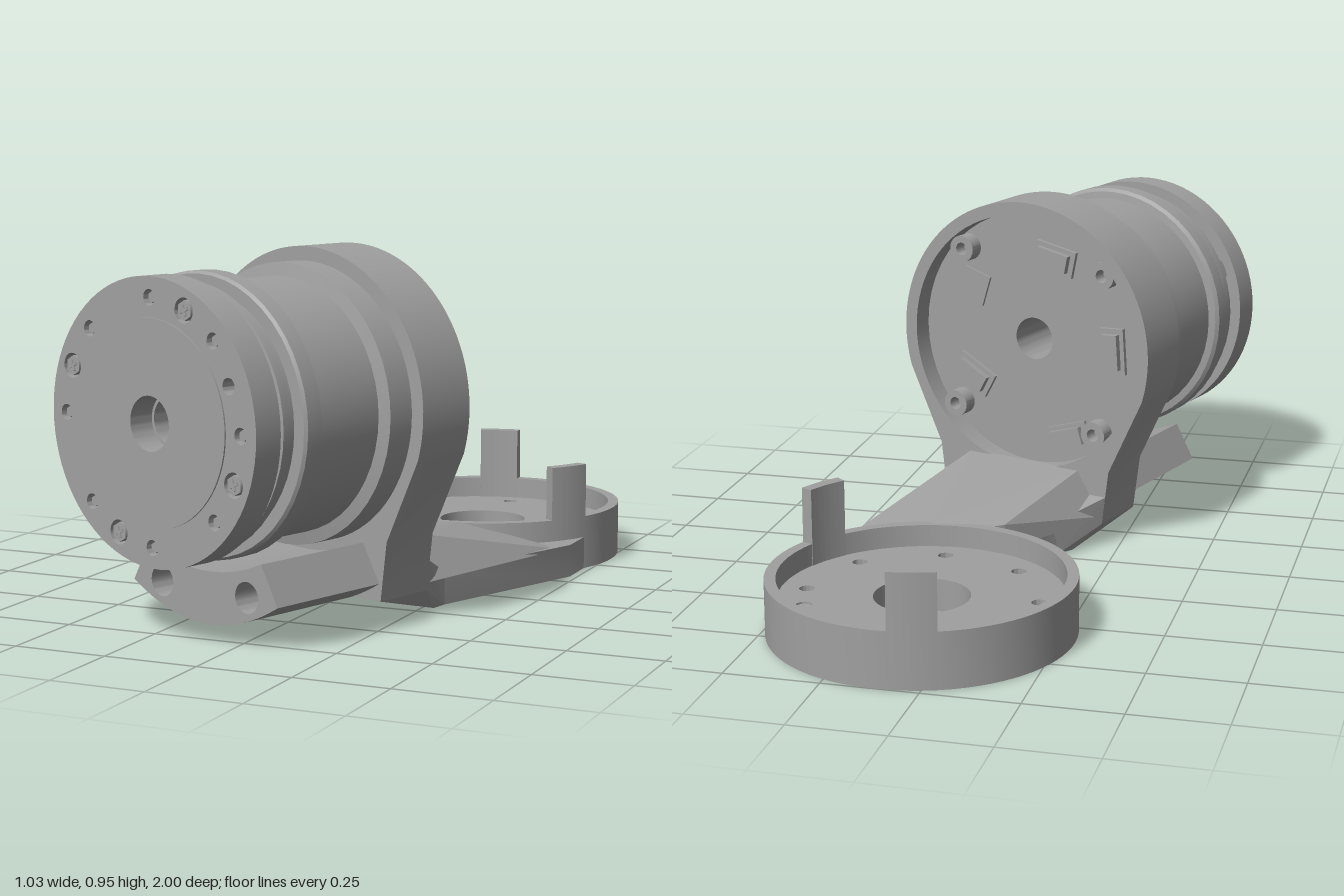
import * as THREE from 'three';
import { toCreasedNormals } from 'three/addons/utils/BufferGeometryUtils.js';
import { ConvexGeometry } from 'three/addons/geometries/ConvexGeometry.js';

const metal = new THREE.MeshStandardMaterial({ color: 0xa0a0a0 });
metal.name = 'machined grey';

function add(parent, name, geometry, x = 0, y = 0, z = 0) {
  const mesh = new THREE.Mesh(geometry, metal);
  mesh.name = name;
  mesh.position.set(x, y, z);
  parent.add(mesh);
  return mesh;
}

const polar = (r, deg) => [r * Math.cos(deg * Math.PI / 180), r * Math.sin(deg * Math.PI / 180)];

function disc(r) {
  return new THREE.Shape().absarc(0, 0, r, 0, Math.PI * 2, false);
}

function drill(shape, x, y, r) {
  shape.holes.push(new THREE.Path().absarc(x, y, r, 0, Math.PI * 2, true));
  return shape;
}

function extrude(shape, depth, curveSegments = 24) {
  const g = new THREE.ExtrudeGeometry(shape, { depth, bevelEnabled: false, curveSegments });
  return toCreasedNormals(g, 0.5);
}

// Extrudes a plan drawn as (x, -z) upwards
const slab = (shape, height, seg) => extrude(shape, height, seg).rotateX(-Math.PI / 2);

function createBase() {
  const base = new THREE.Group();
  base.name = 'baseCup';
  base.position.set(0.11, 0, -0.6);

  // Floor in two layers so the screw holes are counterbored from below
  const layer = r => {
    const s = drill(disc(0.38), 0, 0, 0.125);
    for (let i = 0; i < 8; i++) drill(s, ...polar(0.302, 4.5 + i * 45), r);
    return s;
  };
  add(base, 'counterboredFloor', slab(layer(0.038), 0.05));
  add(base, 'cupFloor', slab(drill(layer(0.02), ...polar(0.302, 26.5), 0.02), 0.04), 0, 0.05, 0);
  add(base, 'cupRim', slab(drill(disc(0.4), 0, 0, 0.37), 0.15, 40));
  add(base, 'floorPin', new THREE.CylinderGeometry(0.02, 0.02, 0.03, 16), 0.27, 0.07, -0.135);

  // Upright locating tabs on the rim
  for (const deg of [103, -31]) {
    const a = deg * Math.PI / 180, h = 0.155;
    const s = new THREE.Shape();
    s.absarc(0, 0, 0.4, a - h, a + h, false);
    s.absarc(0, 0, 0.368, a + h, a - h, true);
    add(base, 'locatingTab', slab(s, 0.3, 8));
  }
  return base;
}

function createMotor() {
  const motor = new THREE.Group();
  motor.name = 'motorUnit';
  motor.position.set(0.045, 0.555, 0.2);
  motor.rotation.y = -18 * Math.PI / 180;

  // Clamp ring flowing down into a tapered neck
  const ring = new THREE.Shape();
  ring.absarc(0, 0, 0.4, -0.3, Math.PI + 0.3, false);
  ring.lineTo(-0.28, -0.335);
  ring.lineTo(-0.26, -0.49);
  ring.lineTo(0.26, -0.49);
  ring.lineTo(0.28, -0.335);
  add(motor, 'clampRing', extrude(drill(ring, 0, 0, 0.363), 0.18, 40));

  // Stepped motor body with a through bore
  const profile = [
    [0.06, 0.06], [0.363, 0.06], [0.363, 0.26], [0.33, 0.267], [0.33, 0.49], [0.35, 0.493],
    [0.359, 0.502], [0.359, 0.55], [0.352, 0.557], [0.32, 0.557], [0.32, 0.585], [0.338, 0.588],
    [0.338, 0.612], [0.32, 0.615], [0.32, 0.655], [0.06, 0.655], [0.06, 0.06],
  ].map(p => new THREE.Vector2(...p));
  const body = new THREE.LatheGeometry(profile, 48).rotateX(Math.PI / 2);
  add(motor, 'motorBody', toCreasedNormals(body, 0.5));

  // Output flange with its bolt circle
  const flange = drill(disc(0.356), 0, 0, 0.257);
  for (let i = 0; i < 8; i++) {
    const [x, y] = polar(0.305, i * 45);
    drill(flange, x, y, 0.02);
    const socket = add(motor, 'smallScrew', new THREE.CylinderGeometry(0.014, 0.014, 0.055, 6), x, y, 0.685);
    socket.rotation.x = Math.PI / 2;
  }
  for (let i = 0; i < 4; i++) {
    const [x, y] = polar(0.305, 67 + i * 90);
    drill(flange, x, y, 0.031);
    const head = add(motor, 'largeScrew', new THREE.CylinderGeometry(0.025, 0.025, 0.06, 6), x, y, 0.69);
    head.rotation.x = Math.PI / 2;
    for (const turn of [0.4, 0.4 + Math.PI / 2]) {
      add(motor, 'screwCross', new THREE.BoxGeometry(0.028, 0.007, 0.006), x, y, 0.721).rotation.z = turn;
    }
  }
  drill(flange, ...polar(0.29, 23), 0.02);
  add(motor, 'outputFlange', extrude(flange, 0.082, 40), 0, 0, 0.64);
  add(motor, 'outputHub', extrude(drill(disc(0.257), 0, 0, 0.068), 0.074, 32), 0, 0, 0.652);

  // Curved foot under the motor with two lengthwise bores
  const foot = new THREE.Shape();
  foot.moveTo(-0.255, -0.445);
  foot.quadraticCurveTo(0, -0.6, 0.255, -0.445);
  foot.lineTo(0.2, -0.345);
  foot.quadraticCurveTo(0, -0.43, -0.2, -0.345);
  for (const x of [-0.15, 0.15]) drill(foot, x, -0.435, 0.04);
  add(motor, 'motorFoot', extrude(foot, 0.55, 16));

  // Circuit board details in the rear recess
  const box = (name, w, h, d, x, y, turn = 0) => {
    add(motor, name, new THREE.BoxGeometry(w, h, d), x, y, 0.06 - d / 2).rotation.z = turn;
  };
  box('boardChip', 0.09, 0.09, 0.008, 0.2, 0.13, 0.3);
  const plugs = [[-0.07, 0.24, 0.2], [-0.26, 0, 1.5], [0.2, -0.13, 0.5], [-0.12, -0.27, -0.3]];
  for (const [x, y, turn] of plugs) {
    box('connector', 0.1, 0.05, 0.03, x, y, turn);
    box('connectorBase', 0.13, 0.075, 0.012, x, y, turn);
  }
  for (const deg of [48, 138, 228, 318]) {
    const [x, y] = polar(0.325, deg);
    add(motor, 'screwLug', extrude(drill(disc(0.038), 0, 0, 0.018), 0.045, 12), x, y, 0.017);
  }
  return motor;
}

function createArm(motor) {
  const arm = new THREE.Group();
  arm.name = 'connectingArm';

  // Flat web, hollowed on one end to meet the cup
  const rad = Math.PI / 180;
  const plan = new THREE.Shape();
  plan.absarc(0.11, 0.6, 0.385, 239 * rad, 343 * rad, false);
  plan.lineTo(0.48, 0.32);
  plan.lineTo(0.29, -0.15);
  plan.lineTo(0.28, -0.2);
  plan.lineTo(-0.13, -0.07);
  plan.lineTo(-0.1, -0.03);
  plan.lineTo(-0.03, 0.1);
  plan.quadraticCurveTo(-0.01, 0.2, -0.1, 0.25);
  add(arm, 'armWeb', slab(plan, 0.09));

  // Rising spine from the cup to the clamp ring
  motor.updateMatrix();
  const V = (x, y, z) => new THREE.Vector3(x, y, z);
  const M = (x, y, z) => V(x, y, z).applyMatrix4(motor.matrix);
  add(arm, 'armSpine', new ConvexGeometry([
    V(-0.02, 0.08, -0.17), V(0, 0.15, -0.19), V(0.19, 0.15, -0.225), V(0.46, 0.08, -0.3),
    V(0.29, 0.08, 0.15), V(-0.1, 0.08, 0.03),
    M(-0.18, -0.345, 0.01), M(0.18, -0.345, 0.01), M(-0.26, -0.47, 0.01), M(0.26, -0.47, 0.01),
  ]));

  // Sloped underside joining the web, neck and foot
  add(arm, 'armHeel', new ConvexGeometry([
    V(-0.1, 0, 0.03), V(0.29, 0, 0.15), V(-0.13, 0, 0.07), V(0.28, 0, 0.2),
    V(-0.08, 0.09, 0), V(0.29, 0.09, 0.15),
    M(-0.26, -0.49, 0), M(0.26, -0.49, 0), M(-0.26, -0.49, 0.18), M(0.26, -0.49, 0.18),
    M(-0.27, -0.41, 0), M(0.27, -0.41, 0), M(-0.27, -0.41, 0.18), M(0.27, -0.41, 0.18),
  ]));
  return arm;
}

export function createModel() {
  const model = new THREE.Group();
  model.name = 'motorBracketAssembly';
  const motor = createMotor();
  model.add(createBase(), motor, createArm(motor));
  return model;
}
